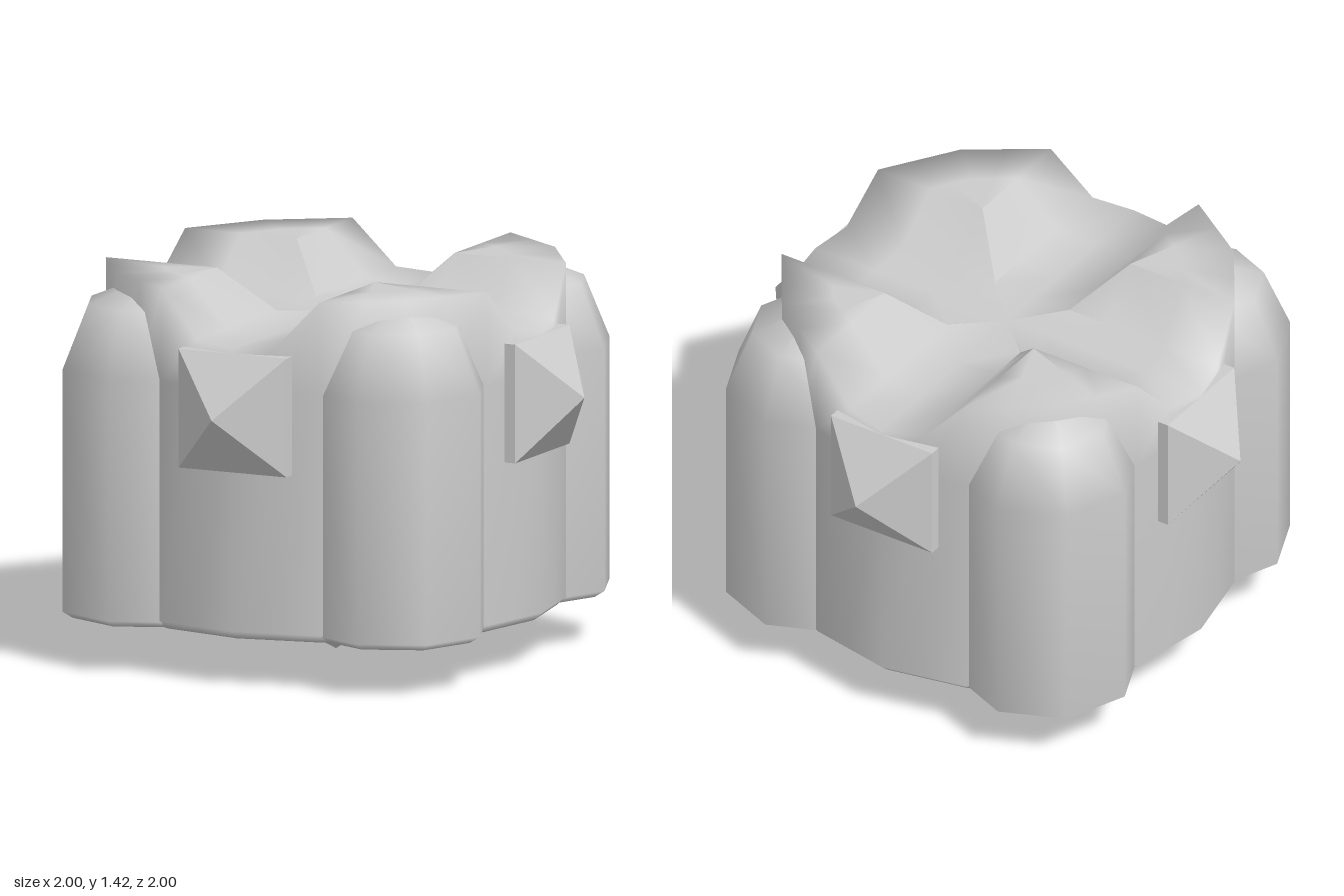
import * as THREE from 'three';
import { mergeVertices } from 'three/addons/utils/BufferGeometryUtils.js';

const R = 0.83, SIDES = 16, SEGS = 32;
const mat = new THREE.MeshStandardMaterial({ color: 0xcccccc });
const flatMat = new THREE.MeshStandardMaterial({ color: 0xcccccc, flatShading: true });

// Outline point on a 16-gon, with a midpoint on every side
function outline(i) {
  const a = (i / SEGS) * Math.PI * 2;
  const r = i % 2 ? R * Math.cos(Math.PI / SIDES) : R;
  return [Math.sin(a) * r, Math.cos(a) * r];
}

// Top height: four raised corner cusps around a cross-shaped valley
function topHeight(x, z) {
  const m = Math.min(Math.abs(x), Math.abs(z));
  if (m < 0.16) return 1.235 + (m / 0.16) * 0.015;
  return THREE.MathUtils.lerp(1.25, 1.42, Math.min(1, (m - 0.16) / 0.155));
}

// Body: rings from the bottom centre, up the wall and inward over the top
function bodyGeometry() {
  const scaled = (s, y) => ([x, z]) => [x * s, y, z * s];
  const onTop = (box, t) => ([x, z]) => {
    const c = (v) => THREE.MathUtils.lerp(THREE.MathUtils.clamp(v, -box, box), v, t);
    return [c(x), topHeight(c(x), c(z)), c(z)];
  };
  const rings = [
    scaled(0, 0.17), scaled(0.8, 0.17), scaled(0.96, 0.17), scaled(1, 0.2), scaled(1, 1.08),
    onTop(0.32, 1), onTop(0.32, 0.5), onTop(0.32, 0), onTop(0.16, 0), onTop(0, 0),
  ];
  const pos = [], index = [];
  rings.forEach((ring, r) => {
    for (let i = 0; i < SEGS; i++) {
      pos.push(...ring(outline(i)));
      if (r === rings.length - 1) continue;
      const j = (i + 1) % SEGS, a = r * SEGS, b = a + SEGS;
      index.push(a + i, a + j, b + j, a + i, b + j, b + i);
    }
  });
  let geo = new THREE.BufferGeometry();
  geo.setAttribute('position', new THREE.Float32BufferAttribute(pos, 3));
  geo.setIndex(index);
  geo = mergeVertices(geo, 1e-4);
  geo.computeVertexNormals();
  return geo;
}

// Spike: square block ending in a pyramid, pointing along +y
function createSpike(name) {
  const spike = new THREE.Group();
  spike.name = name;
  const w = 0.435;
  const base = new THREE.Mesh(new THREE.BoxGeometry(w, 0.2, w), flatMat);
  base.name = name + 'Base';
  base.position.y = R - 0.1;
  const tip = new THREE.Mesh(
    new THREE.ConeGeometry(w / Math.SQRT2, 1 - R, 4, 1, true).rotateY(Math.PI / 4), flatMat);
  tip.name = name + 'Tip';
  tip.position.y = (1 + R) / 2;
  spike.add(base, tip);
  return spike;
}

export function createModel() {
  const model = new THREE.Group();
  model.name = 'spikedBlock';

  const body = new THREE.Mesh(bodyGeometry(), mat);
  body.name = 'body';
  model.add(body);

  // Round-topped corner columns
  const profile = [[0, 0.17], [0.2, 0.17], [0.29, 0.17], [0.33, 0.195],
    [0.33, 1.08], [0.233, 1.313], [0, 1.41]].map(([x, y]) => new THREE.Vector2(x, y));
  const columnGeo = new THREE.LatheGeometry(profile, 8);
  for (const sx of [-1, 1]) for (const sz of [-1, 1]) {
    const column = new THREE.Mesh(columnGeo, mat);
    column.name = (sz > 0 ? 'front' : 'back') + (sx > 0 ? 'Left' : 'Right') + 'Column';
    column.position.set(sx * 0.5, 0, sz * 0.5);
    model.add(column);
  }

  // Spikes on the four sides and underneath
  const H = Math.PI / 2;
  const spikes = {
    frontSpike: [H, 0, 0], backSpike: [-H, 0, 0],
    leftSpike: [0, 0, -H], rightSpike: [0, 0, H], bottomSpike: [Math.PI, 0, 0],
  };
  for (const [name, rot] of Object.entries(spikes)) {
    const spike = createSpike(name);
    spike.position.y = 1;
    spike.rotation.set(...rot);
    model.add(spike);
  }
  return model;
}
